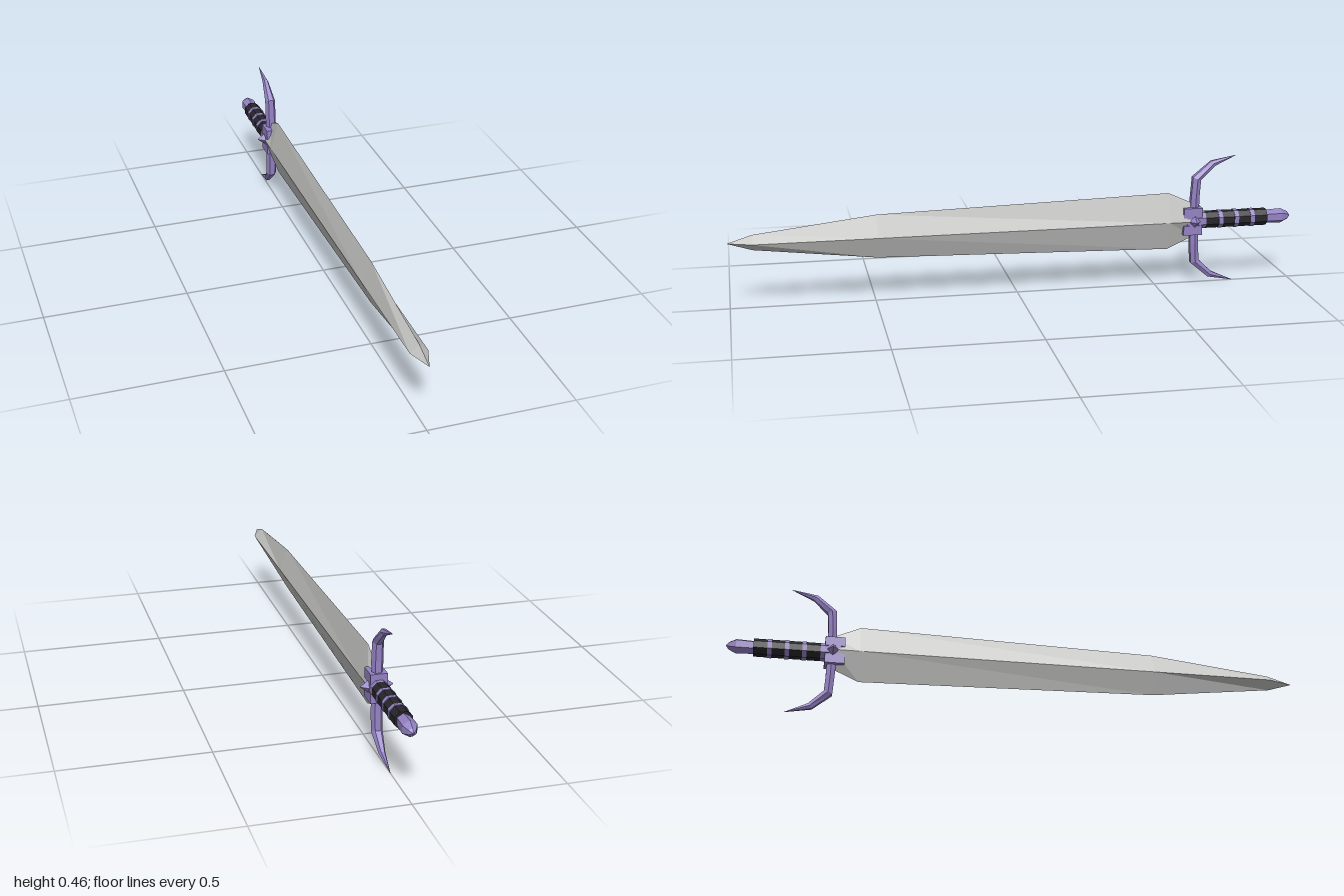
import * as THREE from 'three';

const steel = new THREE.MeshStandardMaterial({ name: 'steel', color: 0xc0c0bf, flatShading: true });
const violet = new THREE.MeshStandardMaterial({ name: 'violet metal', color: 0x9482c4, flatShading: true });
const black = new THREE.MeshStandardMaterial({ name: 'black leather', color: 0x26262b, flatShading: true });

// Skin a list of rings (each counter-clockwise about the direction of travel) and cap both ends
function loft(rings) {
  const pos = [];
  const tri = (...pts) => pts.forEach((p) => pos.push(...p));
  const n = rings[0].length;
  const centre = (r) => [0, 1, 2].map((k) => r.reduce((s, p) => s + p[k], 0) / n);
  const first = rings[0], last = rings[rings.length - 1];
  for (let i = 0; i < n; i++) {
    const j = (i + 1) % n;
    for (let s = 0; s < rings.length - 1; s++) {
      const a = rings[s], b = rings[s + 1];
      tri(a[i], a[j], b[j]);
      tri(a[i], b[j], b[i]);
    }
    tri(centre(first), first[j], first[i]);
    tri(centre(last), last[i], last[j]);
  }
  const geo = new THREE.BufferGeometry();
  geo.setAttribute('position', new THREE.Float32BufferAttribute(pos, 3));
  geo.computeVertexNormals();
  return geo;
}

export function createModel() {
  const model = new THREE.Group();
  model.name = 'dagger';
  const dagger = new THREE.Group();
  dagger.name = 'daggerParts';
  dagger.position.y = 0.233;
  model.add(dagger);

  const add = (name, geo, mat, x = 0, y = 0, z = 0) => {
    const mesh = new THREE.Mesh(geo, mat);
    mesh.name = name;
    mesh.position.set(x, y, z);
    dagger.add(mesh);
    return mesh;
  };

  // Blade: diamond sections [z, half thickness, half height]
  const bladeSections = [
    [-0.64, 0.03, 0.06], [-0.545, 0.03, 0.103], [0.49, 0.03, 0.077],
    [0.915, 0.03, 0.027], [1, 0.0005, 0.0005],
  ];
  add('blade', loft(bladeSections.map(([z, w, h]) =>
    [[w, 0, z], [0, h, z], [-w, 0, z], [0, -h, z]])), steel);

  // Guard: two blocks joined by a slimmer core, with a spike on each side
  add('guardCore', new THREE.BoxGeometry(0.054, 0.05, 0.05), violet, 0, 0, -0.635);
  for (const s of [1, -1]) {
    add('guardBlock', new THREE.BoxGeometry(0.056, 0.034, 0.068), violet, 0, s * 0.032, -0.631);
    const spike = add('guardSpike', new THREE.ConeGeometry(0.023, 0.03, 4), violet, s * 0.04, 0, -0.638);
    spike.rotation.z = -s * Math.PI / 2;
  }

  // Curved prongs: hexagonal sections [front y, front z, back y, back z, half width]
  const prongSections = [
    [0.035, -0.625, 0.035, -0.657, 0.018], [0.085, -0.627, 0.085, -0.657, 0.02],
    [0.158, -0.632, 0.147, -0.661, 0.019], [0.214, -0.698, 0.196, -0.712, 0.011],
    [0.232, -0.79, 0.231, -0.79, 0.0005],
  ];
  const prong = loft(prongSections.map(([fy, fz, by, bz, w]) => {
    const my = (fy + by) / 2, mz = (fz + bz) / 2, h = w / 2;
    return [[-h, fy, fz], [h, fy, fz], [w, my, mz], [h, by, bz], [-h, by, bz], [-w, my, mz]];
  }));
  add('upperProng', prong, violet);
  add('lowerProng', prong, violet).rotation.z = Math.PI;

  // Grip: leather bands between raised metal rings
  const ring = (name, z, length, radius, mat) => {
    const geo = new THREE.CylinderGeometry(radius, radius, length, 8);
    geo.rotateY(Math.PI / 8).rotateX(Math.PI / 2);
    add(name, geo, mat, 0, 0, z);
  };
  ring('gripCollar', -0.665, 0.03, 0.031, violet);
  for (let i = 0; i < 4; i++) {
    const z = -0.705 - i * 0.059;
    ring('gripWrap', z, 0.05, 0.031, black);
    if (i < 3) ring('gripRing', z - 0.0295, 0.015, 0.033, violet);
  }

  // Pommel: faceted stub with a pointed end
  const pommel = new THREE.LatheGeometry([
    [0, -1], [0.014, -0.99], [0.027, -0.965], [0.024, -0.9], [0, -0.9],
  ].map(([r, z]) => new THREE.Vector2(r, z)), 6);
  add('pommel', pommel.rotateX(Math.PI / 2), violet);

  return model;
}
